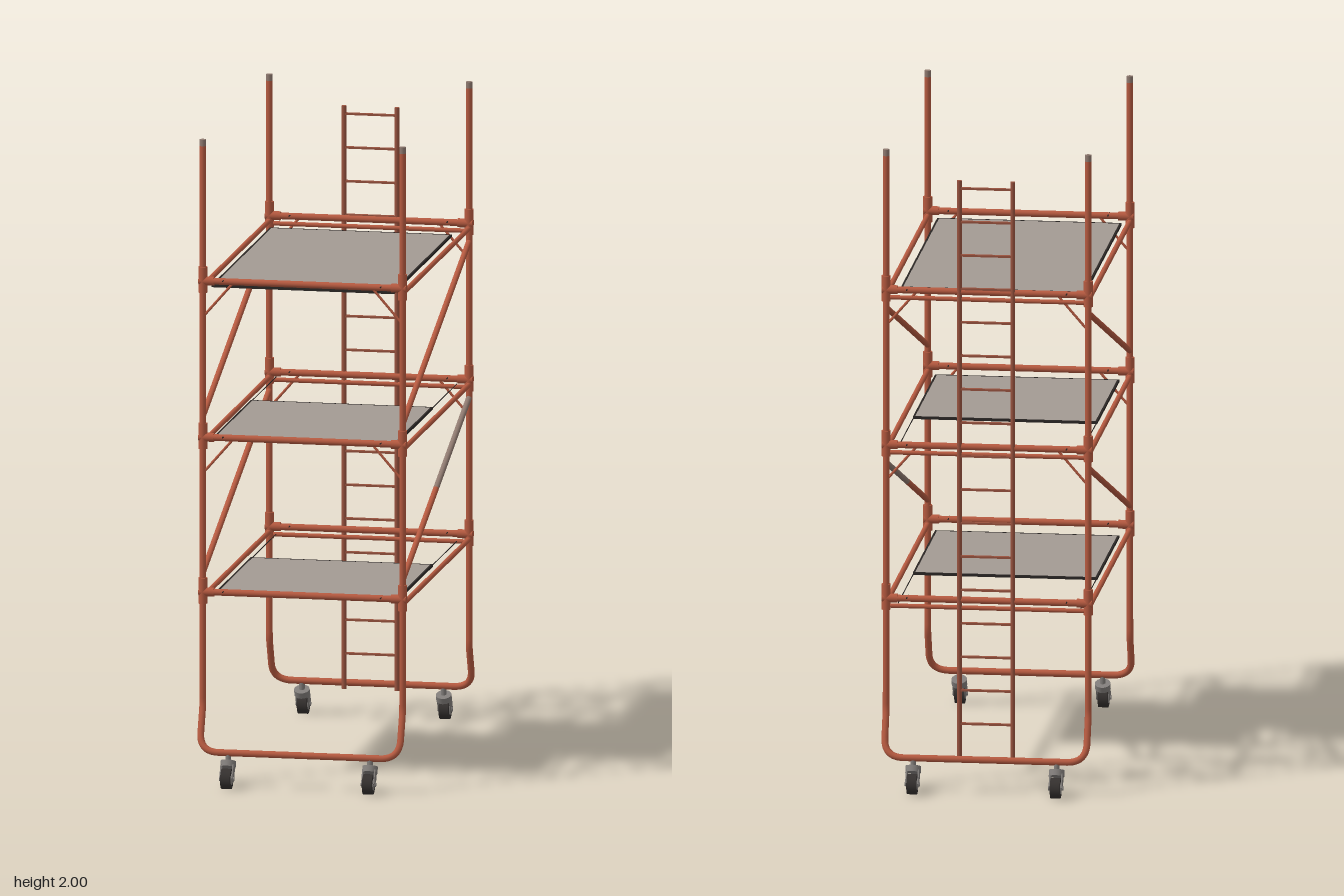
import * as THREE from 'three';

const mat = (name, color) => {
  const m = new THREE.MeshStandardMaterial({ color });
  m.name = name;
  return m;
};
const V = (x, y, z) => new THREE.Vector3(x, y, z);

export function createModel() {
  const root = new THREE.Group();
  root.name = 'scaffoldTower';
  const orange = mat('paintedSteel', 0xb65a40);
  const brown = mat('ladderSteel', 0x99533f);
  const worn = mat('wornSteel', 0x8f7a70);
  const grey = mat('deckGrey', 0xa39a93);
  const black = mat('darkEdge', 0x2b2725);
  const tyre = mat('tyreRubber', 0x35312f);
  const metal = mat('casterMetal', 0x827e7b);

  const add = (parent, name, geo, material, x = 0, y = 0, z = 0) => {
    const mesh = new THREE.Mesh(geo, material);
    mesh.name = name;
    mesh.position.set(x, y, z);
    parent.add(mesh);
    return mesh;
  };
  // Round bar between two points
  const rod = (parent, name, a, b, r, material = orange, sides = 12) => {
    const d = b.clone().sub(a);
    const mesh = add(parent, name, new THREE.CylinderGeometry(r, r, d.length(), sides), material);
    mesh.position.copy(a).lerp(b, 0.5);
    mesh.quaternion.setFromUnitVectors(V(0, 1, 0), d.normalize());
    return mesh;
  };

  const PX = 0.31, PZ = 0.52;
  const levels = [0.58, 1.06, 1.545];

  // Swivel caster with fork, wheel and hub; the wheel trails outward
  const caster = (parent, x, z, s) => {
    const g = new THREE.Group();
    g.name = 'caster';
    g.position.set(x, 0, z);
    if (s < 0) g.rotation.y = Math.PI;
    rod(g, 'casterStem', V(0, 0.07, 0.002), V(0, 0.105, 0), 0.009, metal);
    rod(g, 'swivelPlate', V(0, 0.066, 0.006), V(0, 0.084, -0.002), 0.024, metal, 16);
    for (const side of [-1, 1]) {
      const arm = add(g, 'forkArm', new THREE.BoxGeometry(0.004, 0.045, 0.028), metal, side * 0.0185, 0.053, 0.018);
      arm.rotation.x = -0.45;
    }
    rod(g, 'wheel', V(-0.015, 0.034, 0.025), V(0.015, 0.034, 0.025), 0.031, tyre, 24);
    rod(g, 'hub', V(-0.0165, 0.034, 0.025), V(0.0165, 0.034, 0.025), 0.018, metal, 20);
    rod(g, 'axle', V(-0.023, 0.034, 0.025), V(0.023, 0.034, 0.025), 0.007, metal, 10);
    parent.add(g);
  };

  // End frames: posts, splayed foot hoop, cross bars, collars and knee braces
  for (const s of [1, -1]) {
    const frame = new THREE.Group();
    frame.name = s > 0 ? 'frontFrame' : 'backFrame';
    root.add(frame);
    const z = s * PZ, zb = s * 0.575;

    const pts = [V(-PX, 0.3, z), V(-PX, 0.265, z), V(-PX, 0.235, s * 0.525), V(-PX, 0.165, s * 0.552),
      V(-PX, 0.11, zb), V(-0.25, 0.11, zb)];
    const m = pts.map((p) => V(-p.x, p.y, p.z));
    const hoop = new THREE.CurvePath();
    [
      new THREE.LineCurve3(pts[0], pts[1]),
      new THREE.QuadraticBezierCurve3(pts[1], V(-PX, 0.25, z), pts[2]),
      new THREE.LineCurve3(pts[2], pts[3]),
      new THREE.QuadraticBezierCurve3(pts[3], pts[4], pts[5]),
      new THREE.LineCurve3(pts[5], m[5]),
      new THREE.QuadraticBezierCurve3(m[5], m[4], m[3]),
      new THREE.LineCurve3(m[3], m[2]),
      new THREE.QuadraticBezierCurve3(m[2], V(PX, 0.25, z), m[1]),
      new THREE.LineCurve3(m[1], m[0]),
    ].forEach((c) => hoop.add(c));
    add(frame, 'footHoop', new THREE.TubeGeometry(hoop, 120, 0.0105, 12), orange);

    for (const sx of [-1, 1]) {
      rod(frame, 'post', V(sx * PX, 0.28, z), V(sx * PX, 1.98, z), 0.01);
      rod(frame, 'postTip', V(sx * PX, 1.98, z), V(sx * PX, 2, z), 0.01, worn);
      caster(frame, sx * 0.22, zb, s);
    }

    levels.forEach((y, i) => {
      rod(frame, 'crossBar', V(-PX, y + 0.016, z), V(PX, y + 0.016, z), 0.0105);
      if (s < 0) rod(frame, 'lowerCrossBar', V(-PX, y - 0.008, z), V(PX, y - 0.008, z), 0.007);
      for (const sx of [-1, 1]) {
        rod(frame, 'collar', V(sx * PX, y - 0.02, z), V(sx * PX, y + 0.06, z), 0.014);
        rod(frame, 'barSocket', V(sx * 0.275, y + 0.016, z), V(sx * 0.322, y + 0.016, z), 0.014);
        rod(frame, 'couplingPin', V(sx * 0.245, y + 0.02, z - 0.022), V(sx * 0.245, y + 0.02, z + 0.022), 0.002, black, 6);
        if (i > 0) rod(frame, 'kneeBrace', V(sx * 0.305, y - 0.09, z), V(sx * 0.22, y + 0.008, z), 0.004, orange, 8);
      }
    });
  }

  // Side rails and diagonal braces; one lower brace is worn along its upper half
  for (const sx of [-1, 1]) {
    for (const y of levels) {
      rod(root, 'sideRail', V(sx * PX, y, -PZ), V(sx * PX, y, PZ), 0.008);
    }
    rod(root, 'upperBrace', V(sx * PX, 1.14, PZ), V(sx * PX, 1.505, -PZ), 0.009);
    rod(root, 'lowerBrace', V(sx * PX, 0.655, PZ), V(sx * PX, 0.8375, 0), 0.009);
    rod(root, 'lowerBraceUpperHalf', V(sx * PX, 0.8375, 0), V(sx * PX, 1.02, -PZ), 0.009, sx > 0 ? worn : orange);
  }

  // Decks with a dark rim; the lower two leave room for climbing
  levels.forEach((y, i) => {
    const top = i === 2;
    const [z0, z1] = top ? [-0.415, 0.495] : [-0.115, 0.44];
    const w = 0.565, cx = -0.005, len = z1 - z0;
    const deckY = i === 1 ? y + 0.004 : y - 0.004;
    const deck = new THREE.Group();
    deck.name = 'deck';
    deck.position.set(cx, deckY, (z0 + z1) / 2);
    add(deck, 'deckPanel', new THREE.BoxGeometry(w - 0.012, 0.007, len - 0.012), grey);
    for (const sd of [-1, 1]) {
      add(deck, 'sideRim', new THREE.BoxGeometry(0.006, 0.008, len), black, sd * (w / 2 - 0.003), 0, 0);
      add(deck, 'endRim', new THREE.BoxGeometry(w - 0.012, 0.008, 0.006), black, 0, 0, sd * (len / 2 - 0.003));
      // Thin edge wires continuing past the short decks
      const wx = cx + sd * (w / 2 - 0.002);
      if (!top) rod(root, 'edgeWire', V(wx, deckY, -0.5), V(wx, deckY, z0), 0.0015, black, 6);
    }
    root.add(deck);
  });

  // Ladder with flat rungs
  const ladder = new THREE.Group();
  ladder.name = 'ladder';
  ladder.position.set(0.003, 0, -0.525);
  for (const sx of [-1, 1]) rod(ladder, 'ladderStile', V(sx * 0.082, 0.1, 0), V(sx * 0.082, 1.91, 0), 0.0075, brown);
  for (let i = 0; i < 17; i++) {
    add(ladder, 'rung', new THREE.BoxGeometry(0.164, 0.006, 0.012), brown, 0, 0.21 + i * 0.1047, 0);
  }
  root.add(ladder);

  return root;
}
